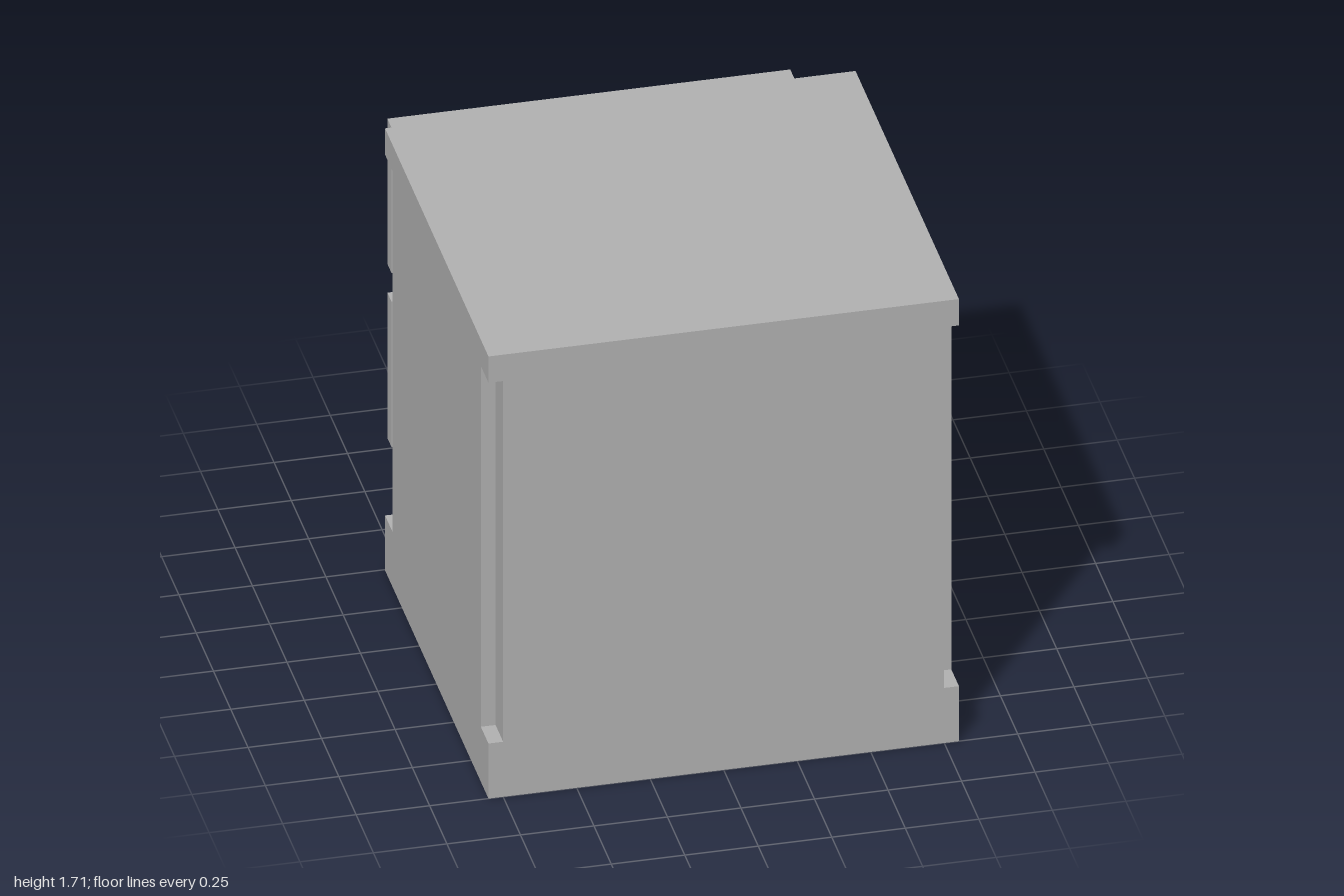
import * as THREE from 'three';

const grey = new THREE.MeshStandardMaterial({ color: 0xb2b2b2 });
grey.name = 'grey';

// Box given by its min and max on each axis
function block(parent, name, [x0, x1], [y0, y1], [z0, z1]) {
  const mesh = new THREE.Mesh(new THREE.BoxGeometry(x1 - x0, y1 - y0, z1 - z0), grey);
  mesh.position.set((x0 + x1) / 2, (y0 + y1) / 2, (z0 + z1) / 2);
  mesh.name = name;
  parent.add(mesh);
}

// Open-topped drawer, pulled out toward -z; y is the bottom of its face panel
function makeDrawer(name, y) {
  const drawer = new THREE.Group();
  drawer.name = name;
  const walls = [0.01, 0.52];
  block(drawer, 'drawerBottom', [-0.63, 0.63], [0.01, 0.04], [-0.89, 0.38]);
  block(drawer, 'drawerSideRight', [-0.675, -0.63], walls, [-0.89, 0.43]);
  block(drawer, 'drawerSideLeft', [0.63, 0.675], walls, [-0.89, 0.43]);
  block(drawer, 'drawerEnd', [-0.63, 0.63], walls, [0.38, 0.43]);
  block(drawer, 'drawerFace', [-0.685, 0.685], [0, 0.563], [-0.95, -0.89]);
  block(drawer, 'handle', [-0.225, 0.225], [0.375, 0.445], [-1, -0.95]);
  block(drawer, 'labelPlate', [-0.6, -0.34], [0.1, 0.16], [-0.959, -0.95]);
  drawer.position.y = y;
  return drawer;
}

export function createModel() {
  const model = new THREE.Group();
  model.name = 'drawerCabinet';

  // Hollow carcass: base and top overhang the open drawer side
  const cabinet = new THREE.Group();
  cabinet.name = 'cabinet';
  block(cabinet, 'base', [-0.8, 0.8], [0, 0.213], [-0.495, 1]);
  block(cabinet, 'top', [-0.8, 0.8], [1.61, 1.712], [-0.495, 1]);
  block(cabinet, 'sideRight', [-0.8, -0.69], [0.213, 1.61], [-0.388, 0.89]);
  block(cabinet, 'sideLeft', [0.69, 0.8], [0.213, 1.61], [-0.388, 0.89]);
  // Narrower panel leaves a notch at each corner
  block(cabinet, 'closedPanel', [-0.75, 0.75], [0.213, 1.61], [0.89, 1]);
  model.add(cabinet);

  model.add(makeDrawer('lowerDrawer', 0.228), makeDrawer('upperDrawer', 0.902));
  return model;
}
